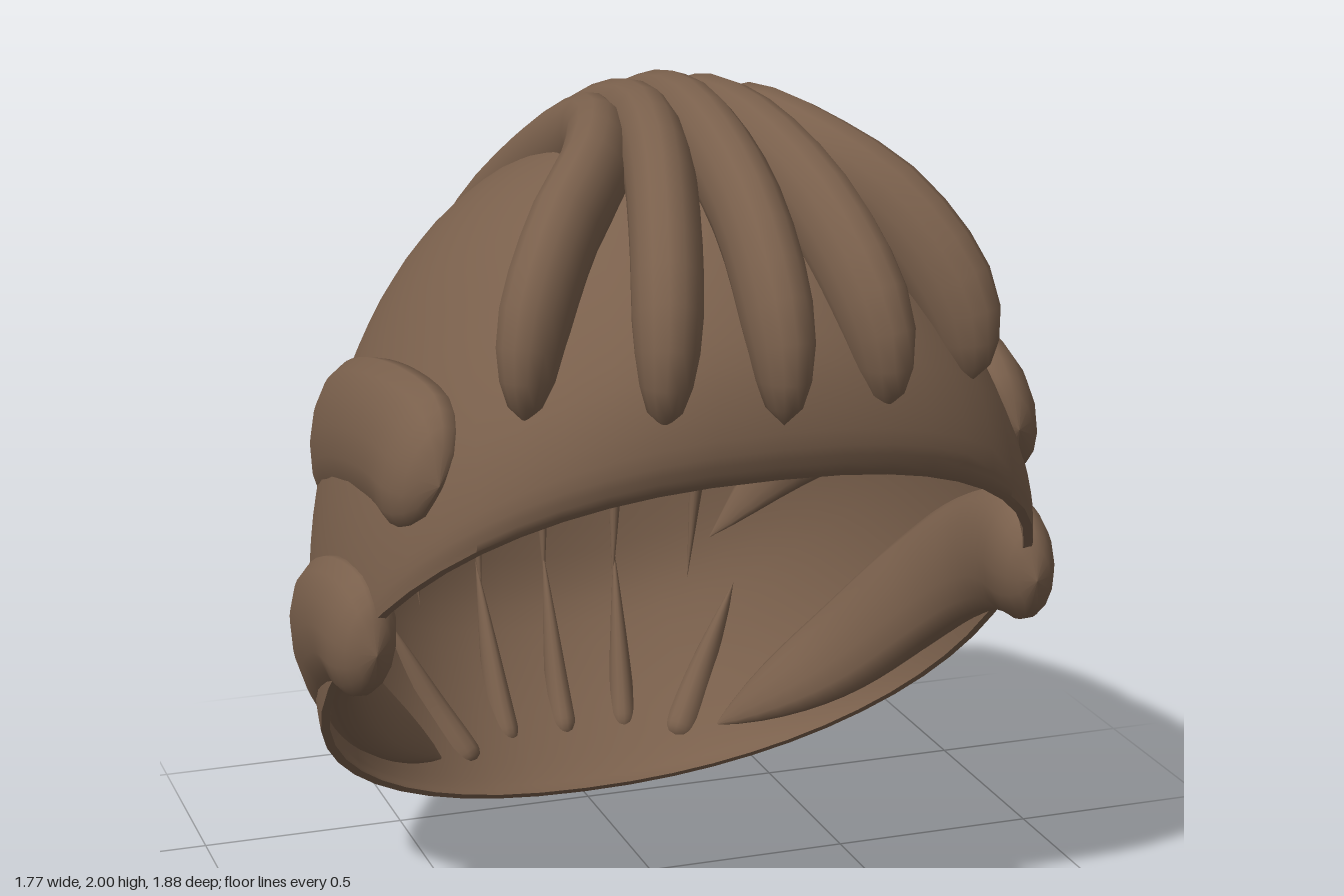
import * as THREE from 'three';
import { toCreasedNormals } from 'three/addons/utils/BufferGeometryUtils.js';

const hairBrown = new THREE.MeshStandardMaterial({ color: 0x7a604c });
hairBrown.name = 'hairBrown';
hairBrown.side = THREE.DoubleSide;

// Skin a list of equal-length closed rings
function loft(rings) {
  const m = rings[0].length;
  const positions = [], index = [];
  rings.forEach(ring => ring.forEach(p => positions.push(p.x, p.y, p.z)));
  for (let j = 0; j < rings.length - 1; j++) {
    for (let i = 0; i < m; i++) {
      const k = (i + 1) % m;
      const a = j * m + i, b = (j + 1) * m + i, c = (j + 1) * m + k, d = j * m + k;
      index.push(a, b, c, a, c, d);
    }
  }
  const g = new THREE.BufferGeometry();
  g.setAttribute('position', new THREE.Float32BufferAttribute(positions, 3));
  g.setIndex(index);
  g.computeVertexNormals();
  return g;
}

// Thin cap, lofted along an axis tilted up and back from its slanted opening
function capGeometry() {
  const origin = new THREE.Vector3(0, 0.66, 0.15);
  const u = new THREE.Vector3(0, 0.67, 0.742);
  const n = new THREE.Vector3(0, 0.742, -0.67);
  const depth = 1.19;
  // front reach, back reach, height along the axis
  const profile = new THREE.CatmullRomCurve3([
    [0.1, 0.1, 1.19], [0.28, -0.1, 1.17], [0.5, -0.33, 1.09], [0.8, -0.63, 0.91],
    [0.97, -0.83, 0.71], [1.05, -0.96, 0.53], [1.08, -1.0, 0.33], [1.06, -1.0, 0.15],
    [0.98, -0.98, 0.01], [0.92, -0.95, -0.03],
  ].map(p => new THREE.Vector3(...p)));
  const rows = 30, sides = 48;
  const ring = (t, s) => {
    const p = profile.getPoint(t);
    const w = 0.83 * Math.sqrt(Math.max(0, 1 - (p.z / depth) ** 2));
    // the brow is a little squarer than the rest
    const brow = 1 - 0.15 * Math.max(0, 1 - p.z / 0.5);
    return Array.from({ length: sides }, (_, i) => {
      const a = i / sides * Math.PI * 2;
      const e = Math.cos(a) > 0 ? brow : 0.93;
      const soften = v => Math.sign(v) * Math.abs(v) ** e;
      const along = (p.x + p.y) / 2 + (p.x - p.y) / 2 * soften(Math.cos(a));
      const v = origin.clone().addScaledVector(u, along * s).addScaledVector(n, p.z * s);
      v.x = w * s * soften(Math.sin(a));
      return v;
    });
  };
  const rings = [];
  for (let j = 0; j <= rows; j++) rings.push(ring(j / rows, 1));
  for (let j = rows; j >= 0; j--) rings.push(ring(j / rows, 0.975));
  return toCreasedNormals(loft(rings), 0.9);
}

// Lens-shaped lock, facing away from a centre at the given height:
// blunt at its first point, tapering to its last
function lockGeometry(points, width, depth, power, centreY) {
  const curve = new THREE.CatmullRomCurve3(points.map(p => new THREE.Vector3(...p)));
  const centre = new THREE.Vector3(0, centreY, 0);
  const steps = 28, sides = 14, blunt = 0.1;
  const rings = [];
  for (let j = 0; j <= steps; j++) {
    const t = (j / steps) ** 1.3;
    const p = curve.getPointAt(t), T = curve.getTangentAt(t);
    const N = p.clone().sub(centre);
    N.addScaledVector(T, -N.dot(T)).normalize();
    const S = N.clone().cross(T);
    const r = t < blunt
      ? Math.sqrt(Math.max(0, 1 - (1 - t / blunt) ** 2))
      : 1 - ((t - blunt) / (1 - blunt)) ** power;
    rings.push(Array.from({ length: sides }, (_, i) => {
      const a = i / sides * Math.PI * 2;
      return p.clone()
        .addScaledVector(N, depth * r * Math.cos(a))
        .addScaledVector(S, width * r * Math.sin(a));
    }));
  }
  return loft(rings);
}

export function createModel() {
  const model = new THREE.Group();
  model.name = 'hair';
  const add = (name, geometry) => {
    const mesh = new THREE.Mesh(geometry, hairBrown);
    mesh.name = name;
    model.add(mesh);
  };
  const addLock = (name, points, ...size) => add(name, lockGeometry(points, ...size));
  const addPair = (name, points, ...size) => {
    addLock(name + 'Left', points, ...size);
    addLock(name + 'Right', points.map(([x, y, z]) => [-x, y, z]), ...size);
  };

  add('cap', capGeometry());

  // Locks swept from the brow over the crown, sinking through the back
  const crown = [0.078, 0.105, 2.4, 0.9];
  addLock('centreLock', [
    [0, 1.37, 0.87], [0, 1.55, 0.845], [0, 1.75, 0.68], [0, 1.87, 0.42], [0, 1.9, 0.17],
    [0, 1.81, -0.2], [0, 1.59, -0.53], [0, 1.26, -0.775], [0, 0.9, -0.885], [0, 0.45, -0.87],
  ], ...crown);
  addPair('innerLock', [
    [0.25, 1.37, 0.82], [0.235, 1.55, 0.8], [0.185, 1.74, 0.64], [0.125, 1.86, 0.4], [0.09, 1.885, 0.15],
    [0.11, 1.79, -0.2], [0.155, 1.56, -0.52], [0.19, 1.23, -0.74], [0.2, 0.9, -0.855], [0.18, 0.45, -0.84],
  ], ...crown);
  addPair('outerLock', [
    [0.51, 1.37, 0.68], [0.485, 1.55, 0.65], [0.385, 1.73, 0.54], [0.26, 1.83, 0.38], [0.18, 1.86, 0.14],
    [0.22, 1.74, -0.15], [0.305, 1.51, -0.45], [0.375, 1.18, -0.66], [0.4, 0.9, -0.76], [0.365, 0.47, -0.77],
  ], ...crown);

  // Broad locks on the sides, their tails sinking through the cap
  addPair('upperSideLock', [
    [0.675, 1.22, 0.59], [0.69, 1.25, 0.36], [0.705, 1.22, 0.1], [0.7, 1.14, -0.15],
    [0.655, 1.0, -0.4], [0.56, 0.82, -0.59], [0.4, 0.6, -0.7],
  ], 0.165, 0.08, 3, 1.1);
  addPair('lowerSideLock', [
    [0.79, 0.81, 0.47], [0.805, 0.82, 0.25], [0.8, 0.74, 0.05], [0.75, 0.59, -0.15],
    [0.62, 0.37, -0.36], [0.37, 0.13, -0.56],
  ], 0.15, 0.08, 4.5, 0.78);

  // Short tips at the nape, thick end down
  const tip = [0.035, 0.055, 1.3, 0.9];
  addLock('napeTip', [[0, 0.08, -0.7], [0, 0.2, -0.76], [0, 0.55, -0.88]], ...tip);
  addPair('napeTipInner', [[0.16, 0.08, -0.69], [0.17, 0.2, -0.74], [0.19, 0.55, -0.86]], ...tip);
  addPair('napeTipSide', [[0.29, 0.06, -0.63], [0.37, 0.22, -0.68], [0.47, 0.47, -0.7]], 0.05, 0.075, 1.5, 0.9);

  return model;
}
